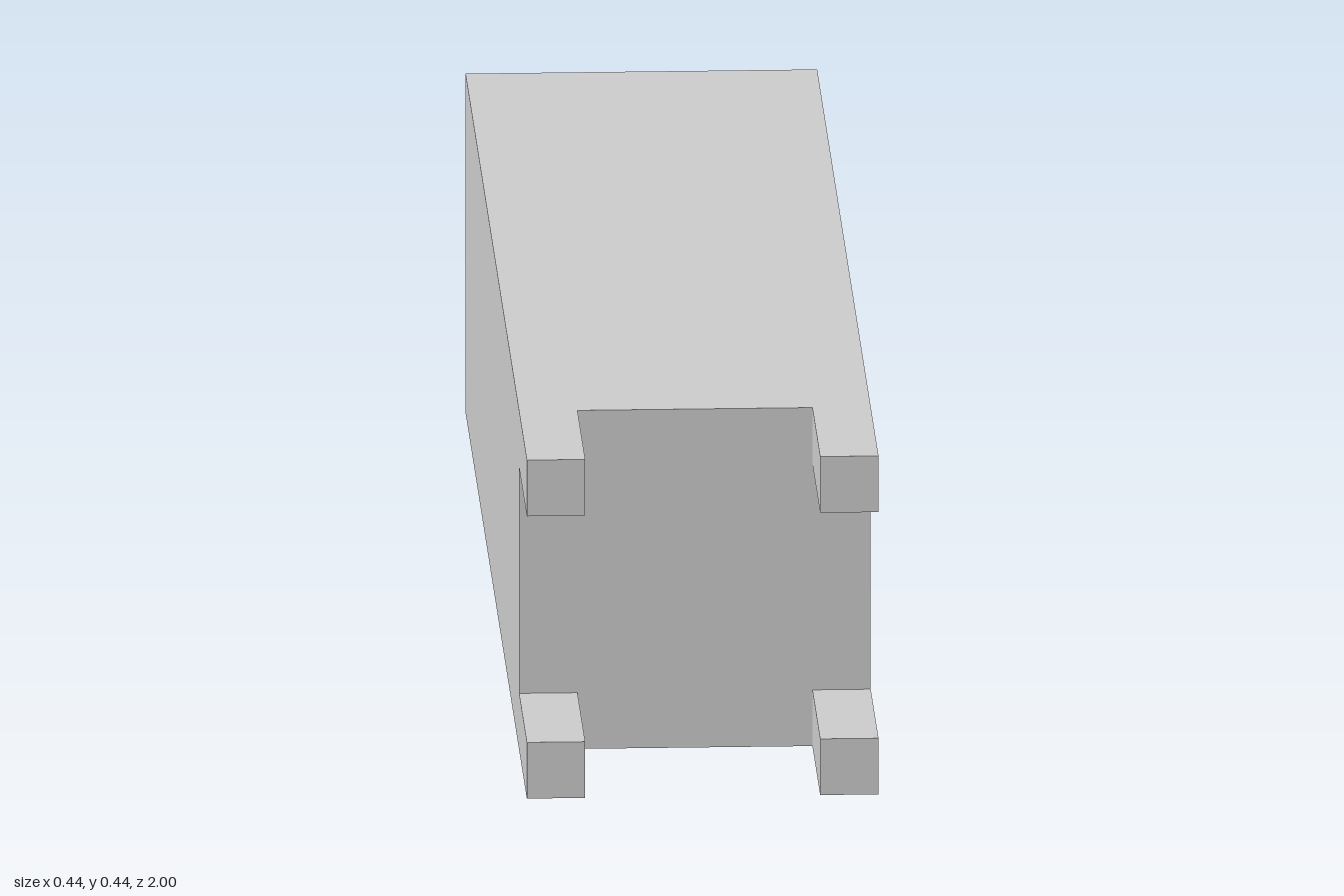
import * as THREE from 'three';

const SIZE = 0.44;           // width and height of the body
const PRONG = 0.073;         // side of each square prong
const BODY_FRONT = 0.777;
const BODY_BACK = -0.758;
const COLLAR_BACK = -0.885;

export function createModel() {
  const model = new THREE.Group();
  model.name = 'model';
  const material = new THREE.MeshStandardMaterial({ color: 0xcccccc, flatShading: true });

  // Square bar running along z between two depths
  function bar(name, side, x, y, zBack, zFront) {
    const mesh = new THREE.Mesh(new THREE.BoxGeometry(side, side, zFront - zBack), material);
    mesh.name = name;
    mesh.position.set(x, y, (zBack + zFront) / 2);
    model.add(mesh);
  }

  // Long body with a stepped tail
  const mid = SIZE / 2;
  bar('body', SIZE, 0, mid, BODY_BACK, BODY_FRONT);
  bar('rearCollar', 0.293, 0, mid, COLLAR_BACK, BODY_BACK);
  bar('rearTip', 0.146, 0, mid, -1, COLLAR_BACK);

  // Four prongs at the front corners
  const offset = mid - PRONG / 2;
  for (const [sideName, sx] of [['Left', 1], ['Right', -1]]) {
    for (const [level, sy] of [['upper', 1], ['lower', -1]]) {
      bar(`${level}${sideName}Prong`, PRONG, sx * offset, mid + sy * offset, BODY_FRONT, 1);
    }
  }
  return model;
}
